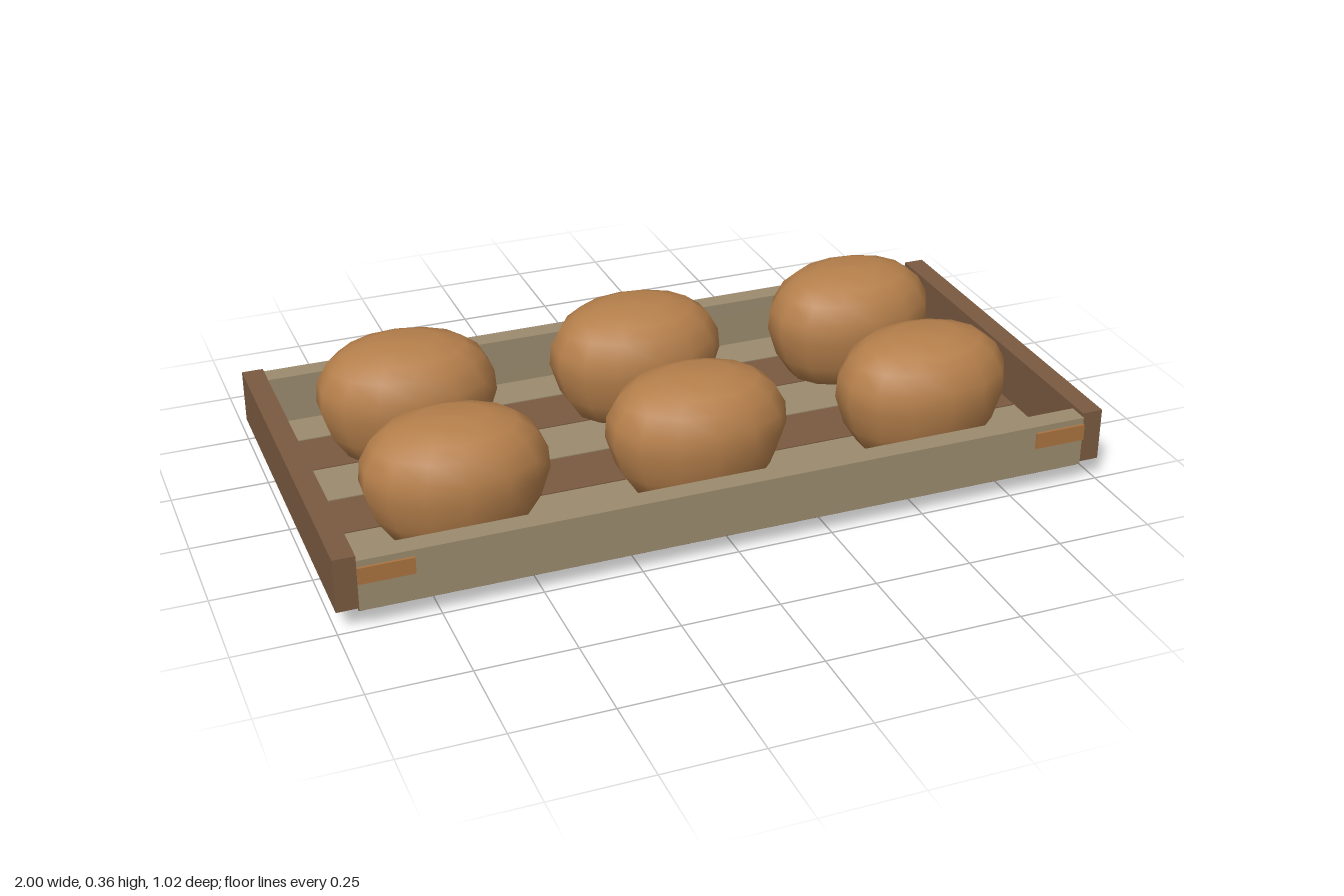
import * as THREE from 'three';

const mat = (name, color, side = THREE.FrontSide) => {
  const m = new THREE.MeshStandardMaterial({ color, side });
  m.name = name;
  return m;
};

export function createModel() {
  const root = new THREE.Group();
  root.name = 'breadTray';
  const brown = mat('brown wood', 0x7a5a40);
  const tan = mat('tan wood', 0x9c8b6f);
  const dark = mat('dark runner', 0x454c4c);
  const clipMat = mat('orange wood', 0xa97340);
  const crust = mat('bread crust', 0xb57f4b);

  // Box given by its minimum and maximum corners
  const box = (name, m, [x0, y0, z0], [x1, y1, z1]) => {
    const mesh = new THREE.Mesh(new THREE.BoxGeometry(x1 - x0, y1 - y0, z1 - z0), m);
    mesh.position.set((x0 + x1) / 2, (y0 + y1) / 2, (z0 + z1) / 2);
    mesh.name = name;
    root.add(mesh);
  };

  // Floor slats, alternating colours with narrow gaps
  for (let i = 0; i < 6; i++) {
    const z = -0.495 + i * 0.1655;
    box('floorSlat', i % 2 ? brown : tan, [-0.945, 0.048, z], [0.945, 0.06, z + 0.161]);
  }

  for (const s of [-1, 1]) {
    // Long side board and end board
    box('sideBoard', tan, [-0.945, 0.056, s * 0.4775 - 0.0275], [0.945, 0.19, s * 0.4775 + 0.0275]);
    box('endBoard', brown, [s * 0.9725 - 0.0275, 0.06, -0.5], [s * 0.9725 + 0.0275, 0.2, 0.5]);
    // Runner under the floor
    box('runner', dark, [s * 0.685 - 0.085, 0, -0.4], [s * 0.685 + 0.085, 0.048, 0.4]);
    // Corner cleats on the long boards
    for (const t of [-1, 1]) {
      box('cornerCleat', clipMat, [s * 0.877 - 0.068, 0.13, t * 0.508 - 0.004],
        [s * 0.877 + 0.068, 0.173, t * 0.508 + 0.004]);
    }
  }

  // Loaves: oval domes with a flattened top and a tucked-in base
  const profile = [[0, 0.06], [0.72, 0.06], [0.89, 0.12], [1, 0.2], [0.98, 0.255],
    [0.86, 0.305], [0.68, 0.337], [0.39, 0.357], [0, 0.36]].map(([r, y]) => new THREE.Vector2(r, y));
  const loafGeo = new THREE.LatheGeometry(profile, 14);
  loafGeo.scale(0.235, 1, 0.168);
  const yaws = [-0.06, 0.02, 0.06, -0.06, -0.03, 0.03];
  yaws.forEach((yaw, i) => {
    const loaf = new THREE.Mesh(loafGeo, crust);
    loaf.name = 'loaf';
    loaf.position.set((i % 3 - 1) * 0.628, 0, i < 3 ? -0.22 : 0.217);
    loaf.rotation.y = yaw;
    root.add(loaf);
  });
  return root;
}
